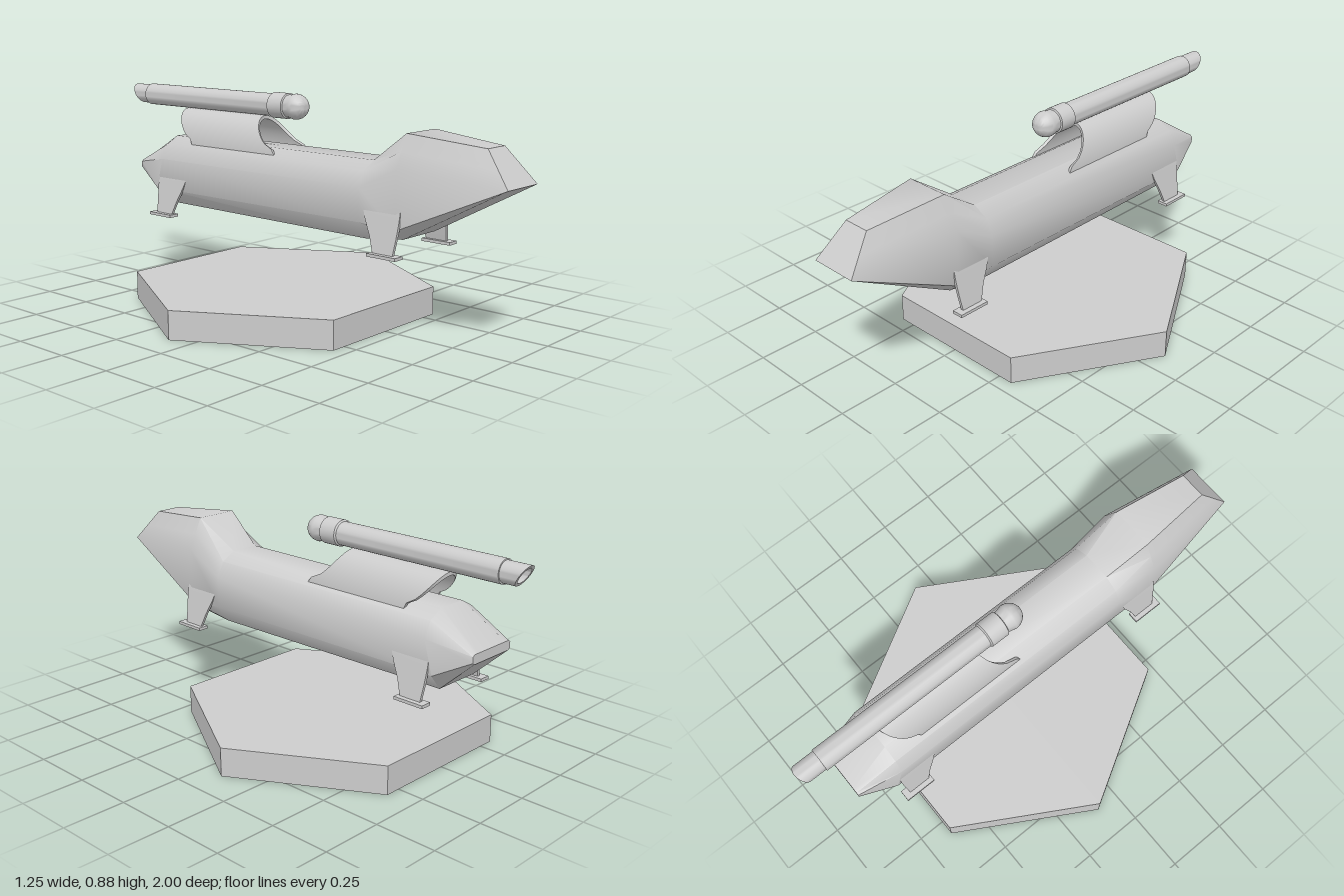
import * as THREE from 'three';
import { toCreasedNormals } from 'three/addons/utils/BufferGeometryUtils.js';

const CX = 0.03; // hull centre line

// Closed solid through equal-length rings of [x, y, z], with end caps.
function loft(rings, crease = 0.7) {
  const tris = [];
  const add = (...t) => {
    const [a, b, c] = t.map((p) => new THREE.Vector3(...p));
    if (b.clone().sub(a).cross(c.clone().sub(a)).length() > 1e-7) tris.push([a, b, c]);
  };
  const n = rings[0].length;
  for (let i = 0; i < rings.length - 1; i++) {
    for (let j = 0; j < n; j++) {
      const k = (j + 1) % n;
      add(rings[i][j], rings[i][k], rings[i + 1][j]);
      add(rings[i][k], rings[i + 1][k], rings[i + 1][j]);
    }
  }
  const last = rings[rings.length - 1];
  for (let j = 1; j < n - 1; j++) {
    add(rings[0][0], rings[0][j + 1], rings[0][j]);
    add(last[0], last[j], last[j + 1]);
  }
  // turn the faces outward
  let volume = 0;
  for (const [a, b, c] of tris) volume += a.dot(b.clone().cross(c));
  if (volume < 0) tris.forEach((t) => t.reverse());
  const geo = new THREE.BufferGeometry().setFromPoints(tris.flat());
  return toCreasedNormals(geo, crease);
}

// Turned part along z; profile points are [radius, z] with z rising.
function turned(profile) {
  const geo = new THREE.LatheGeometry(profile.map(([r, z]) => new THREE.Vector2(r, z)), 32);
  return geo.rotateX(Math.PI / 2);
}

export function createModel() {
  const group = new THREE.Group();
  const grey = new THREE.MeshStandardMaterial({ color: 0xcccccc });
  grey.name = 'light grey';
  const add = (name, geo, x = 0, y = 0, z = 0) => {
    const mesh = new THREE.Mesh(geo, grey);
    mesh.name = name;
    mesh.position.set(x, y, z);
    group.add(mesh);
    return mesh;
  };

  // Hexagonal stand
  const hex = new THREE.CylinderGeometry(0.625, 0.625, 0.115, 6, 1).rotateY(Math.PI / 6 + Math.PI / 3);
  hex.computeBoundingBox();
  if (hex.boundingBox.max.x < 0.6) hex.rotateY(Math.PI / 6);
  add('base', toCreasedNormals(hex, 0.3), 0, 0.0575, -0.097);

  // Hull: half sections from top to bottom as [half width, y, z]
  const section = (half) => [
    ...half.map(([x, y, z]) => [x, y, z]),
    ...half.map(([x, y, z]) => [-x, y, z]).reverse(),
  ];
  const mid = (zTop, zBottom = zTop, keel = 0.378) => section([
    [0.06, 0.663, zTop], [0.12, 0.63, zTop], [0.15, 0.57, zTop],
    [0.15, 0.44, zBottom], [0.1, keel, zBottom]]);
  const hull = loft([
    section([[0.08, 0.545, -0.86], [0.1, 0.545, -0.86], [0.11, 0.538, -0.86],
      [0.11, 0.515, -0.86], [0.1, 0.508, -0.86]]),
    mid(-0.68, -0.715),
    mid(0.4, 0.4, 0.37),
    section([[0.09, 0.78, 0.57], [0.12, 0.717, 0.57], [0.15, 0.655, 0.57],
      [0.15, 0.43, 0.57], [0.1, 0.39, 0.57]]),
    section([[0.055, 0.75, 0.89], [0.0765, 0.685, 0.945], [0.098, 0.62, 1],
      [0.098, 0.62, 1], [0.098, 0.62, 1]]),
  ]);
  add('hull', hull, CX);

  // Arched saddle shell with swept ends
  const arch = [];
  const steps = 24;
  for (let i = 0; i <= steps; i++) {
    const a = (i / steps) * Math.PI;
    const c = Math.cos(a);
    const h = Math.sin(a);
    const point = (w, top, z) => [w * c, 0.62 + (top - 0.62) * h, z];
    const s = Math.max(0, (0.16 * h - 0.04) / 0.12);
    const front = -0.07 - 0.14 * Math.sqrt(s);
    const rear = -0.545 - 0.125 * Math.pow(s, 0.6);
    arch.push([point(0.104, 0.78, front), point(0.104, 0.78, rear),
      point(0.092, 0.766, rear), point(0.092, 0.766, front)]);
  }
  add('saddle', loft(arch), CX);

  // Barrel with collar and domed tip
  const dome = [];
  for (let i = 0; i <= 10; i++) {
    const a = (i / 10) * Math.PI / 2;
    dome.push([0.052 * Math.cos(a), -0.042 + 0.055 * Math.sin(a)]);
  }
  const barrel = turned([[0, -0.9], [0.046, -0.9], [0.046, -0.16], [0.052, -0.155],
    [0.052, -0.08], [0.046, -0.077], [0.046, -0.066], ...dome]);
  add('barrel', toCreasedNormals(barrel, 0.6), CX, 0.827, 0);

  // Hollow tail pipe with a slanted mouth
  const pipe = turned([[0, -0.92], [0.03, -0.92], [0.03, -1], [0.041, -1], [0.041, -0.89]]);
  const pos = pipe.attributes.position;
  for (let i = 0; i < pos.count; i++) {
    if (pos.getZ(i) < -0.95) pos.setZ(i, -0.975 - 0.025 * (pos.getY(i) / 0.041));
  }
  add('tailPipe', toCreasedNormals(pipe, 0.6), CX, 0.827, 0);
  add('tailPin', toCreasedNormals(turned([[0, -0.95], [0.014, -0.95], [0.014, -0.91]]), 0.6), CX, 0.827, 0);

  // Four splayed legs, flaring toward the middle of the hull
  for (const side of [-1, 1]) {
    for (const [name, z, dir] of [['frontLeg', 0.54, 1], ['rearLeg', -0.65, -1]]) {
      // rows: y, distance from centre line, outer edge, inner edge
      const rows = [[0.5, 0.142, 0.05, -0.12], [0.46, 0.15, 0.05, -0.105],
        [0.4, 0.16, 0.045, -0.075], [0.338, 0.172, 0.038, -0.052]];
      const rings = rows.map(([y, x, out, inn]) => [
        [side * (x - 0.006), y, dir * out], [side * (x + 0.006), y, dir * out],
        [side * (x + 0.006), y, dir * inn], [side * (x - 0.006), y, dir * inn]]);
      add(name, loft(rings, 0.5), CX, 0, z);
      add(name + 'Foot', new THREE.BoxGeometry(0.046, 0.012, 0.13), CX + side * 0.174, 0.336, z);
    }
  }
  return group;
}
